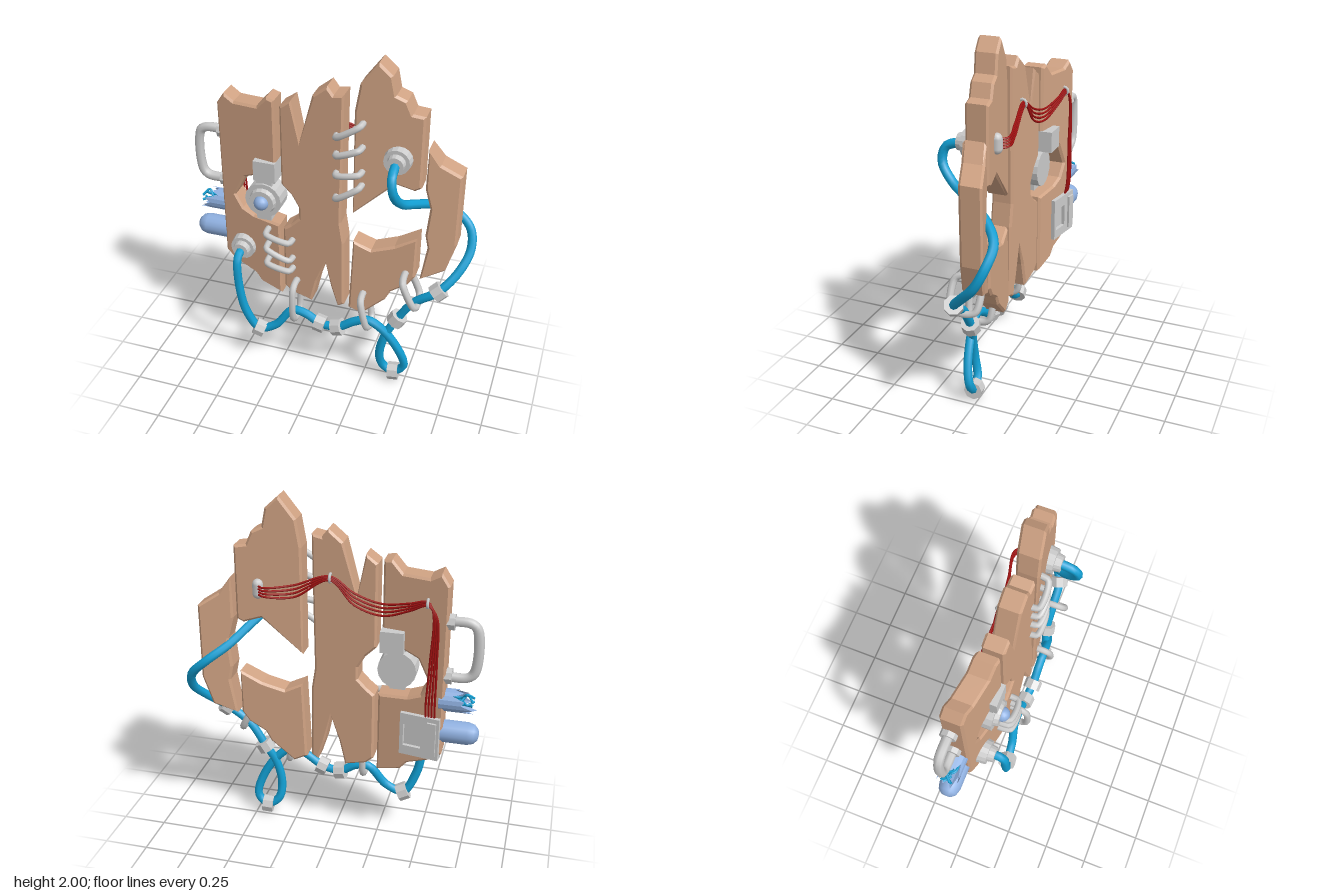
import * as THREE from 'three';

const mat = (color, extra = {}) => new THREE.MeshStandardMaterial({ color, ...extra });
const V = (x, y, z) => new THREE.Vector3(x, y, z);

export function createModel() {
  const model = new THREE.Group();
  const wood = mat(0xcfa283, { flatShading: true });
  const grey = mat(0xcccccc);
  const greyFlat = mat(0xcccccc, { flatShading: true });
  const cableBlue = mat(0x12a0d4);
  const glass = mat(0x8fb0e0);
  const glassOpen = mat(0x8fb0e0, { flatShading: true, side: THREE.DoubleSide });
  const red = mat(0xa01010);

  const add = (name, geo, material, x = 0, y = 0, z = 0, parent = model) => {
    const m = new THREE.Mesh(geo, material);
    m.name = name;
    m.position.set(x, y, z);
    parent.add(m);
    return m;
  };
  const curveOf = pts => new THREE.CatmullRomCurve3(pts.map(p => V(...p)), false, 'centripetal');
  const tube = (name, pts, r, material, seg = 24, sides = 8) =>
    add(name, new THREE.TubeGeometry(curveOf(pts), seg, r, sides), material);
  const box = (name, w, h, d, x, y, z) => add(name, new THREE.BoxGeometry(w, h, d), grey, x, y, z);
  // disc facing the front, between depths z0 and z1
  const disc = (name, r0, r1, x, y, z0, z1, material = greyFlat, sides = 16) =>
    add(name, new THREE.CylinderGeometry(r1, r0, z1 - z0, sides).rotateX(Math.PI / 2), material, x, y, (z0 + z1) / 2);

  // Planks: bevelled slabs whose depth slides along x, so that together they curve
  const slope = (x, [x0, z0, x1, z1]) => z0 + (z1 - z0) * (x - x0) / (x1 - x0);
  const tilt = [[-0.62, -0.085, -0.27, -0.025], [-0.24, -0.02, 0.13, 0.0], [0.17, -0.003, 0.52, -0.048], [0.55, -0.05, 0.72, -0.1]];
  const plank = (name, line, pts) => {
    const b = 0.012;
    const geo = new THREE.ExtrudeGeometry(new THREE.Shape(pts.map(p => new THREE.Vector2(...p))),
      { depth: 0.1, bevelEnabled: true, bevelSize: b, bevelOffset: -b, bevelThickness: b, bevelSegments: 1 });
    geo.translate(0, 0, -0.05);
    const p = geo.attributes.position;
    for (let i = 0; i < p.count; i++) p.setZ(i, p.getZ(i) + slope(p.getX(i), line));
    geo.computeVertexNormals();
    add(name, geo, wood);
  };
  plank('rightPlank', tilt[0], [
    [-0.62, 1.62], [-0.62, 0.66], [-0.56, 0.61], [-0.43, 0.56], [-0.39, 0.51], [-0.255, 0.475], [-0.255, 0.95],
    [-0.42, 0.965], [-0.49, 0.995], [-0.535, 1.07], [-0.47, 1.2], [-0.39, 1.235], [-0.27, 1.24],
    [-0.27, 1.71], [-0.315, 1.72], [-0.375, 1.655], [-0.515, 1.65], [-0.575, 1.685]]);
  plank('middlePlank', tilt[1], [
    [-0.24, 1.685], [-0.24, 1.22], [-0.18, 1.16], [-0.14, 1.09], [-0.14, 1.02], [-0.19, 0.97], [-0.235, 0.935],
    [-0.235, 0.54], [-0.19, 0.5], [-0.07, 0.47], [-0.035, 0.62], [0.015, 0.77], [0.05, 0.6], [0.09, 0.475],
    [0.13, 0.5], [0.125, 0.92], [0.105, 1.05], [0.115, 1.81], [0.06, 1.8], [0.025, 1.845], [-0.055, 1.78],
    [-0.13, 1.5], [-0.175, 1.73]]);
  plank('upperLeftPlank', tilt[2], [
    [0.17, 1.73], [0.17, 1.125], [0.39, 1.33], [0.49, 1.3], [0.525, 1.32], [0.525, 1.73], [0.46, 1.74],
    [0.43, 1.81], [0.375, 1.835], [0.355, 1.935], [0.285, 2.0], [0.195, 1.88]]);
  plank('lowerLeftPlank', tilt[2], [
    [0.175, 0.945], [0.155, 0.485], [0.23, 0.45], [0.36, 0.57], [0.39, 0.63], [0.48, 0.69], [0.52, 0.75],
    [0.52, 1.005], [0.4, 0.94], [0.275, 0.9]]);
  plank('outerLeftPlank', tilt[3], [
    [0.55, 1.555], [0.545, 1.32], [0.575, 1.2], [0.56, 1.03], [0.575, 0.95], [0.545, 0.74], [0.675, 0.8],
    [0.725, 0.97], [0.725, 1.395], [0.615, 1.465]]);

  // Eye in the round opening
  disc('eyeHousing', 0.105, 0.105, -0.35, 1.095, -0.07, 0.04);
  disc('eyeRing', 0.078, 0.07, -0.35, 1.095, 0.04, 0.065);
  add('eyeLens', new THREE.SphereGeometry(0.042, 16, 10), glass, -0.35, 1.095, 0.065);
  box('eyeNeck', 0.09, 0.11, 0.06, -0.345, 1.2, 0.0);
  box('eyeFoot', 0.085, 0.06, 0.06, -0.35, 0.995, 0.0);
  box('eyeBlock', 0.125, 0.12, 0.2, -0.332, 1.285, -0.045);

  // Cable sockets
  for (const [x, y, z] of [[-0.49, 0.745, 0], [0.4, 1.485, 0.03]]) {
    disc('socketPlate', 0.078, 0.07, x, y, z - 0.03, z + 0.04);
    disc('socketCollar', 0.05, 0.045, x, y, z + 0.04, z + 0.075);
  }

  // Hanging cable
  const cablePts = [
    [-0.49, 0.745, 0.05], [-0.49, 0.725, 0.115], [-0.485, 0.55, 0.13], [-0.45, 0.35, 0.12], [-0.38, 0.23, 0.1],
    [-0.28, 0.27, 0.09], [-0.18, 0.39, 0.07], [-0.1, 0.385, 0.07], [-0.01, 0.335, 0.07], [0.1, 0.345, 0.08],
    [0.2, 0.41, 0.08], [0.28, 0.44, 0.08], [0.37, 0.38, 0.07], [0.47, 0.22, 0.05], [0.49, 0.11, 0.03],
    [0.43, 0.055, 0.03], [0.365, 0.1, 0.04], [0.35, 0.2, 0.06], [0.38, 0.34, 0.06], [0.44, 0.46, 0.04],
    [0.53, 0.6, 0.04], [0.66, 0.7, 0.03], [0.75, 0.8, -0.05], [0.79, 0.9, -0.14], [0.77, 1.0, -0.19],
    [0.68, 1.09, -0.2], [0.58, 1.16, -0.12], [0.5, 1.23, 0.02], [0.45, 1.28, 0.12], [0.42, 1.37, 0.19],
    [0.405, 1.45, 0.175], [0.4, 1.485, 0.08]];
  tube('cable', cablePts, 0.025, cableBlue, 160);

  // Clamps threaded on the cable, each lined up with its run
  for (const i of [4, 8, 9, 15, 19, 21]) {
    const dir = V(...cablePts[i + 1]).sub(V(...cablePts[i - 1])).normalize();
    const c = add('cableClamp', new THREE.CylinderGeometry(0.052, 0.052, 0.06, 8), greyFlat, ...cablePts[i]);
    c.quaternion.setFromUnitVectors(V(0, 1, 0), dir);
  }

  // Staples across the gaps
  const staple = (x0, y0, x1, y1) => {
    const dx = (x1 - x0) * 0.06, dy = (y1 - y0) * 0.06;
    tube('staple', [[x0, y0, -0.02], [x0, y0, 0.07], [x0 + dx, y0 + dy, 0.095],
      [x1 - dx, y1 - dy, 0.095], [x1, y1, 0.07], [x1, y1, -0.02]], 0.018, grey, 28);
  };
  [[0.91, 0.875], [0.815, 0.755], [0.715, 0.685]].forEach(([a, b]) => staple(-0.325, a, -0.18, b));
  [[1.585, 1.67], [1.48, 1.535], [1.365, 1.39], [1.22, 1.31]].forEach(([a, b]) => staple(0.08, a, 0.215, b));

  // Links that hang the cable from the planks: closed rounded loops
  for (const [x0, y0, x1, y1, zb, zf] of [
    [-0.155, 0.6, -0.155, 0.36, 0.01, 0.13], [0.24, 0.6, 0.285, 0.4, 0, 0.12], [0.47, 0.77, 0.55, 0.6, -0.04, 0.11]]) {
    const at = (t, z) => V(x0 + (x1 - x0) * t, y0 + (y1 - y0) * t, z);
    const loop = new THREE.CatmullRomCurve3([at(0, zb + 0.03), at(0, zf - 0.03), at(0.12, zf), at(0.88, zf),
      at(1, zf - 0.03), at(1, zb + 0.03), at(0.88, zb), at(0.12, zb)], true, 'centripetal');
    add('hangingLink', new THREE.TubeGeometry(loop, 48, 0.02, 8, true), grey);
  }

  // Side handle
  tube('handle', [[-0.58, 1.42, -0.1], [-0.73, 1.42, -0.1], [-0.765, 1.39, -0.1], [-0.765, 1.15, -0.1],
    [-0.73, 1.115, -0.1], [-0.58, 1.115, -0.1]], 0.027, grey, 40);
  for (const y of [1.42, 1.115])
    add('handleMount', new THREE.CylinderGeometry(0.045, 0.045, 0.04, 8).rotateZ(Math.PI / 2), greyFlat, -0.63, y, -0.1);

  // Side lamps: one whole, one broken with loose wires
  const bulb = [[0, 0.21], [0.03, 0.205], [0.052, 0.185], [0.062, 0.15], [0.062, 0]].reverse().map(p => new THREE.Vector2(...p));
  add('lamp', new THREE.LatheGeometry(bulb, 16).rotateZ(Math.PI / 2), glass, -0.6, 0.78, -0.09);
  const shell = new THREE.CylinderGeometry(0.062, 0.062, 0.1, 16, 1, true);
  const sp = shell.attributes.position;
  for (let i = 0; i <= 16; i++)
    sp.setY(i, 0.07 + [0, 0.045, -0.02, 0.03][i % 4] - 0.6 * sp.getX(i));
  shell.rotateZ(Math.PI / 2);
  add('brokenLamp', shell, glassOpen, -0.64, 0.97, -0.09);
  add('brokenLampBase', new THREE.CylinderGeometry(0.061, 0.061, 0.04, 16).rotateZ(Math.PI / 2), glass, -0.635, 0.97, -0.09);
  for (let i = 0; i < 4; i++) {
    const a = i * Math.PI / 2 + 0.6, c = Math.cos(a) * 0.03, s = Math.sin(a) * 0.03;
    tube('looseWire', [[-0.64, 0.97 + c, -0.09 + s], [-0.7, 0.97 + c * 0.4, -0.09 + s], [-0.735, 0.98 + c * 1.4, -0.09 - s * 0.5],
      [-0.77, 0.97 + c * 0.6, -0.09 + s * 1.2]], 0.007, cableBlue, 16, 6);
  }

  // Back: control panel with a window
  const panel = new THREE.Shape([[-0.11, -0.125], [0.11, -0.125], [0.11, 0.125], [-0.11, 0.125]].map(p => new THREE.Vector2(...p)));
  panel.holes.push(new THREE.Path([[-0.01, -0.07], [-0.01, 0.06], [0.09, 0.06], [0.09, -0.07]].map(p => new THREE.Vector2(...p))));
  const back = new THREE.Group();
  back.name = 'backPanel';
  back.position.set(-0.5, 0.755, -0.125);
  back.rotation.y = -0.17;
  model.add(back);
  add('panelFrame', new THREE.ExtrudeGeometry(panel, { depth: 0.05, bevelEnabled: false }), grey, 0, 0, -0.025, back);
  add('panelWindow', new THREE.BoxGeometry(0.12, 0.15, 0.02), grey, 0.04, 0, 0.005, back);
  add('panelStrip', new THREE.BoxGeometry(0.05, 0.2, 0.015), grey, -0.07, 0, -0.03, back);

  // Back: wire connector and clips
  add('wireConnector', new THREE.CapsuleGeometry(0.03, 0.05, 4, 10), grey, 0.4, 1.5, -0.1);
  for (const [x, y, z] of [[0.01, 1.59, -0.08], [-0.51, 1.52, -0.13]]) {
    const clip = add('wireClip', new THREE.TorusGeometry(0.022, 0.008, 6, 12), grey, x, y, z);
    clip.rotation.y = Math.PI / 2;
  }

  // Back: red wires sagging between the clips
  for (let i = 0; i < 4; i++) {
    const k = i - 1.5, d = k * 0.006, sag = 0.022 * k;
    tube('redWire', [[0.4, 1.5 + k * 0.016, -0.11], [0.36, 1.5 + k * 0.016, -0.145], [0.2, 1.51 + sag, -0.115], [0.01, 1.59 + d, -0.09 + d * 0.5],
      [-0.12, 1.49 + sag, -0.095], [-0.27, 1.45 + sag, -0.105], [-0.42, 1.49 + sag * 0.6, -0.13], [-0.51, 1.52 + d, -0.14 + d * 0.5],
      [-0.55 + d, 1.47 + d, -0.15], [-0.555 + k * 0.012, 1.2, -0.155], [-0.55 + k * 0.016, 0.95, -0.155],
      [-0.55 + k * 0.016, 0.86, -0.14]], 0.006, red, 72, 6);
  }
  return model;
}
